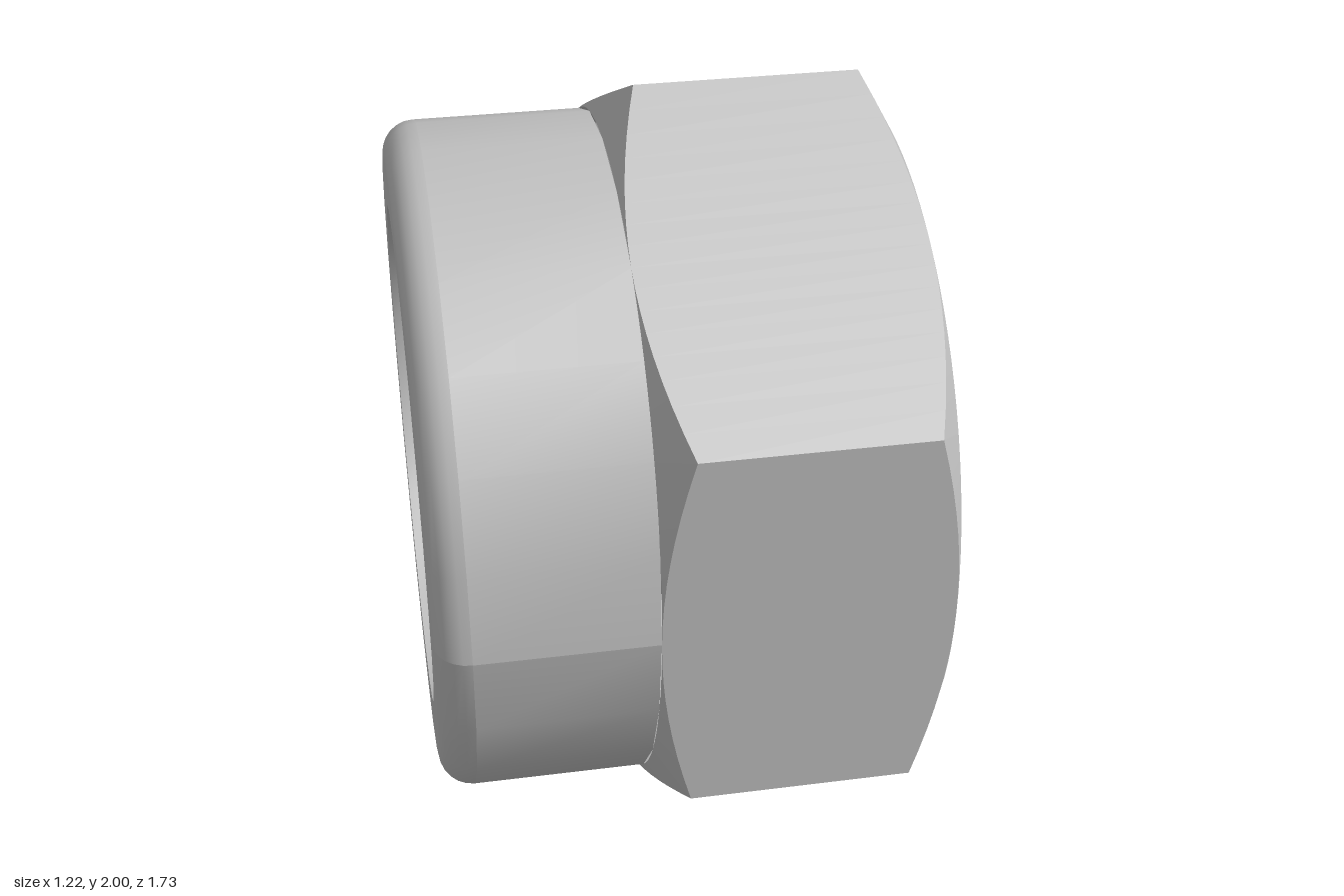
import * as THREE from 'three';

const FLAT = Math.sqrt(3) / 2; // hexagon flat radius, corners at radius 1
const LEFT = -0.61, STEP = -0.09, RIGHT = 0.61;
const SLOPE = 0.56; // chamfer depth per unit of radius

// Surface swept about the x axis: profile(a) gives [x, r] points, ordered so the outside faces out.
function sweep(profile, steps, from = 0, to = Math.PI * 2) {
  const pos = [], idx = [];
  const n = profile(from).length;
  for (let i = 0; i <= steps; i++) {
    const a = from + (to - from) * i / steps;
    for (const [x, r] of profile(a)) pos.push(x, r * Math.sin(a), r * Math.cos(a));
  }
  for (let i = 0; i < steps; i++) {
    for (let j = 0; j < n - 1; j++) {
      const p = i * n + j, q = p + n;
      idx.push(p, p + 1, q + 1, p, q + 1, q);
    }
  }
  const g = new THREE.BufferGeometry();
  g.setAttribute('position', new THREE.Float32BufferAttribute(pos, 3));
  g.setIndex(idx);
  g.computeVertexNormals();
  return g;
}

export function createModel() {
  const model = new THREE.Group();
  const steel = new THREE.MeshStandardMaterial({ color: 0xbfbfbf, side: THREE.DoubleSide });
  steel.name = 'steel';

  const nut = new THREE.Group();
  nut.name = 'lockNut';
  nut.position.y = 1;
  model.add(nut);

  const add = (name, geometry) => {
    const mesh = new THREE.Mesh(geometry, steel);
    mesh.name = name;
    nut.add(mesh);
  };
  const ring = (name, points) => add(name, sweep(() => points, 24));

  // Hexagon flats, each with curved ends where the chamfer cones cut it
  for (let k = 0; k < 6; k++) {
    const mid = k * Math.PI / 3;
    const edge = (a) => FLAT / Math.cos(a - mid);
    const cut = (r) => SLOPE * (r - FLAT);
    const sector = (name, profile) =>
      add(name, sweep(profile, 16, mid - Math.PI / 6, mid + Math.PI / 6));
    sector('hexFlat', (a) => {
      const r = edge(a);
      return [[STEP + cut(r), r], [RIGHT - cut(r), r]];
    });
    sector('rearChamfer', (a) => [[STEP, FLAT], [STEP + cut(edge(a)), edge(a)]]);
    sector('frontChamfer', (a) => [[RIGHT - cut(edge(a)), edge(a)], [RIGHT, FLAT]]);
  }

  // End face and threaded bore with a bevel at each mouth
  ring('endFace', [[RIGHT, FLAT], [RIGHT, 0.5]]);
  ring('frontBoreBevel', [[RIGHT, 0.5], [RIGHT - 0.07, 0.435]]);
  ring('bore', [[RIGHT - 0.07, 0.435], [STEP + 0.07, 0.435]]);
  ring('rearBoreBevel', [[STEP + 0.07, 0.435], [STEP, 0.5]]);

  // Collar with a rounded rim
  const outer = [];
  for (let i = 0; i <= 6; i++) {
    const t = i / 6 * Math.PI / 2;
    outer.push([LEFT + 0.085 * (1 - Math.sin(t)), FLAT - 0.085 * (1 - Math.cos(t))].slice());
  }
  outer.reverse();
  const rim = outer.map((_, i) => {
    const t = i / 6 * Math.PI / 2;
    return [LEFT + 0.085 * (1 - Math.sin(t)), FLAT - 0.085 * (1 - Math.cos(t))];
  }).reverse();
  ring('collarRim', rim);
  ring('collarWall', [[LEFT + 0.085, FLAT], [STEP, FLAT]]);

  // Rim face, lip and hollow inside of the collar
  ring('collarFace', [[LEFT, 0.65], [LEFT, FLAT - 0.085]]);
  ring('collarLip', [[LEFT + 0.04, 0.65], [LEFT, 0.65]]);
  ring('lipBack', [[LEFT + 0.04, 0.85], [LEFT + 0.04, 0.65]]);
  ring('collarInside', [[STEP, 0.855], [LEFT + 0.04, 0.85]]);

  return model;
}
